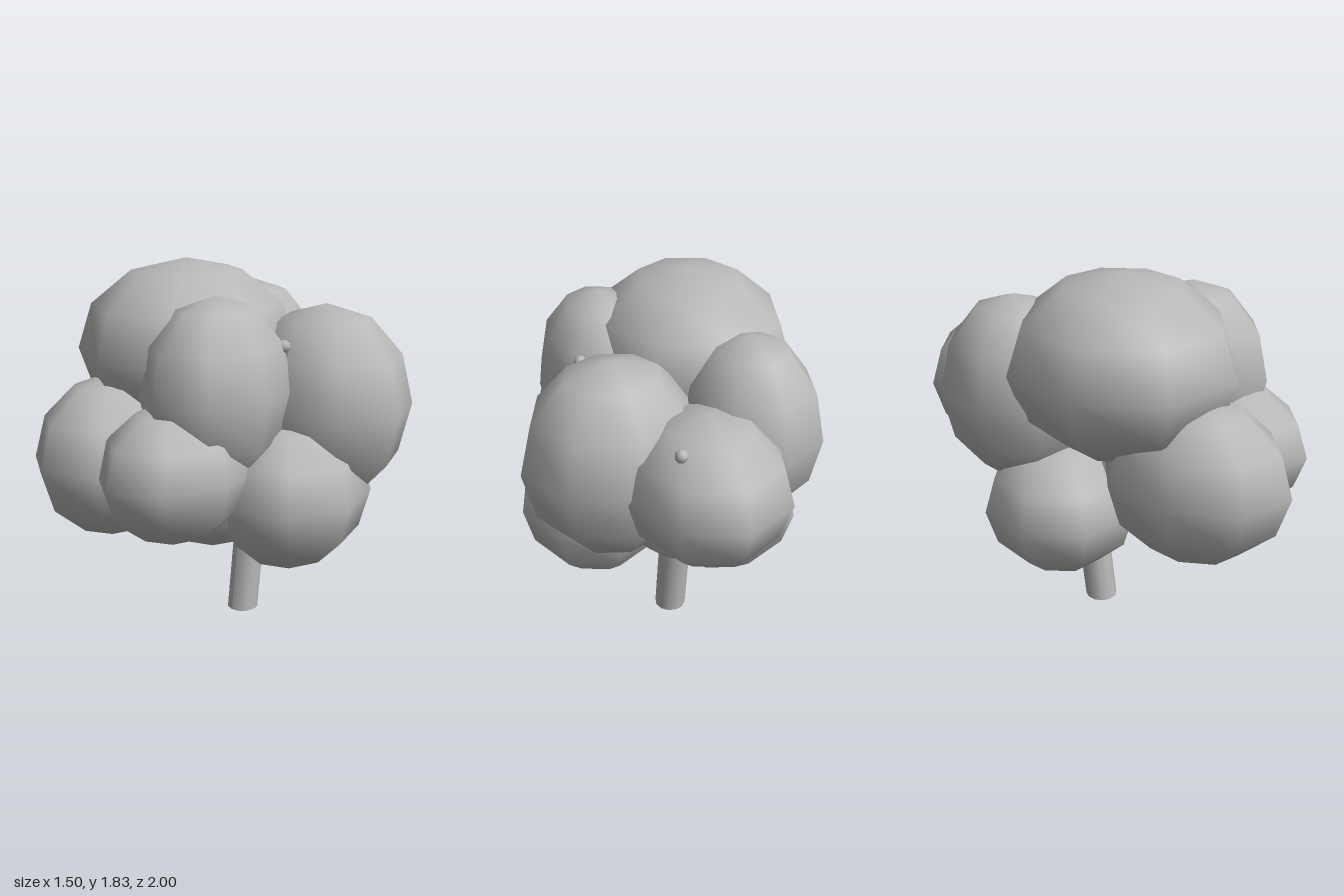
import * as THREE from 'three';

export function createModel() {
  const tree = new THREE.Group();
  tree.name = 'tree';
  const grey = new THREE.MeshStandardMaterial({ color: 0xb8b8b8 });
  grey.name = 'plain grey';

  // Foliage: low-sided smooth ellipsoids, each [name, centre, radii]
  const clumps = [
    ['crownClump', [-0.24, 1.4, 0.16], [0.51, 0.43, 0.55]],
    ['upperFrontClump', [0.15, 1.27, 0.34], [0.32, 0.44, 0.38]],
    ['upperSideClump', [0.31, 1.15, -0.23], [0.44, 0.48, 0.4]],
    ['backClump', [0.01, 1.125, -0.59], [0.38, 0.35, 0.41]],
    ['backCornerClump', [-0.31, 1.23, -0.35], [0.34, 0.45, 0.38]],
    ['lowerSideClump', [0.33, 0.765, 0.03], [0.36, 0.365, 0.41]],
    ['frontLeftClump', [0.11, 0.935, 0.54], [0.32, 0.325, 0.41]],
    ['frontRightClump', [-0.3, 0.935, 0.55], [0.34, 0.395, 0.45]],
    ['lowerBackClump', [-0.3, 0.665, -0.13], [0.39, 0.345, 0.38]],
    ['innerFrontClump', [-0.01, 0.815, 0.21], [0.39, 0.34, 0.41]],
    ['innerBackClump', [-0.05, 0.9, -0.31], [0.4, 0.32, 0.33]],
  ];
  const clumpShape = new THREE.SphereGeometry(1, 8, 6);
  const foliage = new THREE.Group();
  foliage.name = 'foliage';
  for (const [name, centre, radii] of clumps) {
    const clump = new THREE.Mesh(clumpShape, grey);
    clump.name = name;
    clump.position.set(...centre);
    clump.scale.set(...radii);
    foliage.add(clump);
  }
  tree.add(foliage);

  // Trunk leaning backwards, with a level foot
  const trunkShape = new THREE.CylinderGeometry(0.08, 0.08, 0.8, 12);
  trunkShape.translate(0, 0.4, 0);
  const p = trunkShape.attributes.position;
  for (let i = 0; i < p.count; i++) p.setZ(i, p.getZ(i) - 0.12 * p.getY(i));
  trunkShape.computeVertexNormals();
  const trunk = new THREE.Mesh(trunkShape, grey);
  trunk.name = 'trunk';
  trunk.position.set(-0.065, 0, -0.04);
  tree.add(trunk);

  // Thin branches whose tips just break through the foliage
  const fork = new THREE.Vector3(-0.065, 0.75, -0.13);
  const tips = [[0.2, 1.4, -0.72], [0.34, 1.475, 0.1]];
  tips.forEach(([x, y, z], i) => {
    const tip = new THREE.Vector3(x, y, z);
    const branch = new THREE.Mesh(
      new THREE.TubeGeometry(new THREE.LineCurve3(fork, tip), 1, 0.028, 8), grey);
    branch.name = 'branch' + (i + 1);
    const end = new THREE.Mesh(new THREE.SphereGeometry(0.03, 8, 6), grey);
    end.name = 'branchTip' + (i + 1);
    end.position.copy(tip);
    tree.add(branch, end);
  });
  return tree;
}
